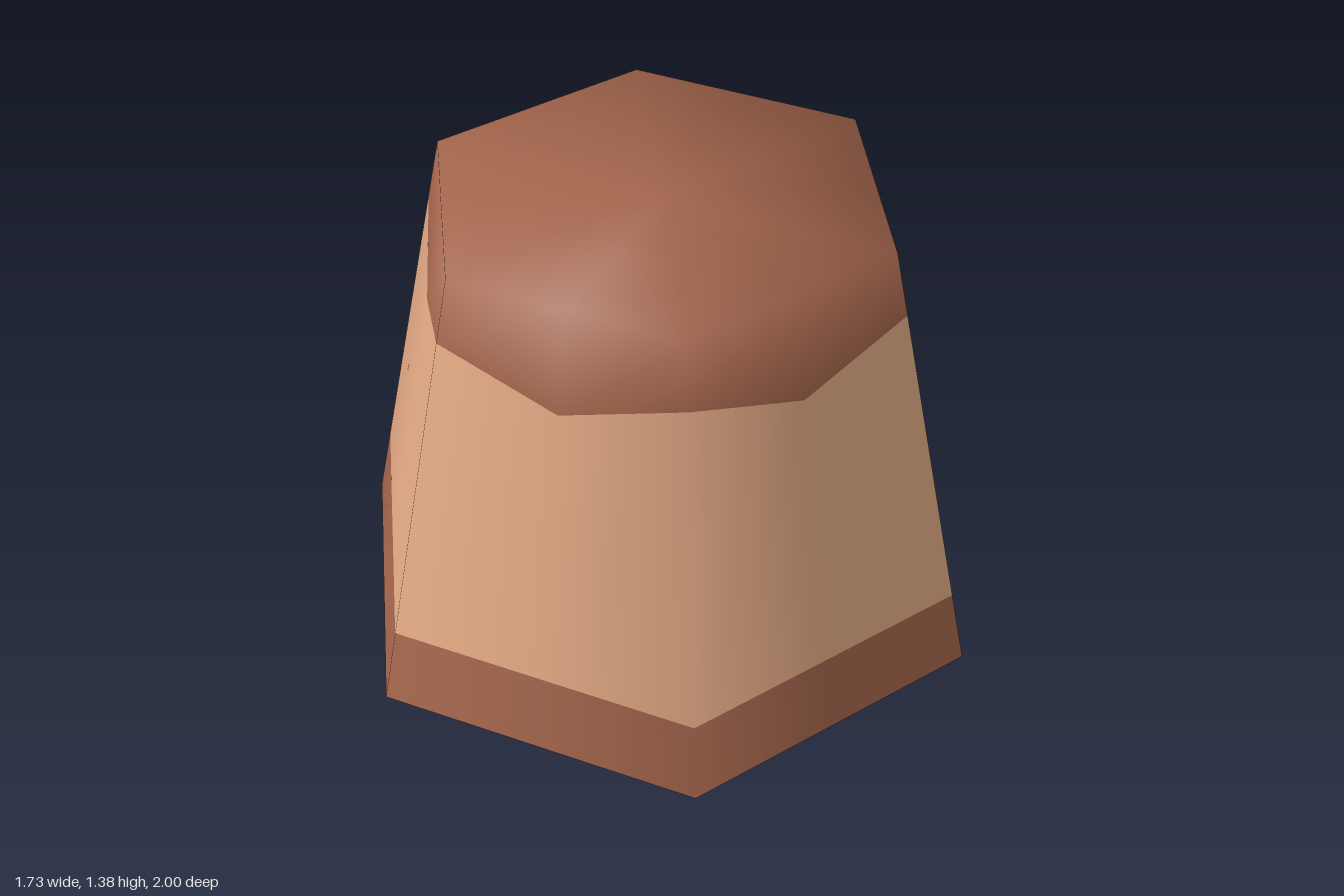
import * as THREE from 'three';

const SIDES = 12; // six corners (even) alternating with six edge midpoints (odd)
const HEIGHT = 1.385;
const TOP_RADIUS = 0.71;
const SLOPE = (1 - TOP_RADIUS) / HEIGHT;

// Ring of points on the tapered hexagon; corners and midpoints may differ in height.
// tilt is the upward share of the smooth normals.
function ring(cornerY, midY = cornerY, tilt = SLOPE) {
  const points = [];
  for (let i = 0; i <= SIDES; i++) {
    const angle = (i % SIDES) * Math.PI * 2 / SIDES;
    const y = i % 2 ? midY : cornerY;
    const r = (1 - SLOPE * y) * (i % 2 ? Math.cos(Math.PI / 6) : 1);
    const dir = new THREE.Vector3(Math.sin(angle), 0, Math.cos(angle));
    points.push({
      p: new THREE.Vector3(dir.x * r, y, dir.z * r),
      n: new THREE.Vector3(dir.x, tilt, dir.z).normalize(),
    });
  }
  return points;
}

// A ring collapsed to one point, used to close an end.
function pole(y, up) {
  const point = { p: new THREE.Vector3(0, y, 0), n: new THREE.Vector3(0, up, 0) };
  return Array(SIDES + 1).fill(point);
}

// Join successive rings, listed from bottom to top, into one smooth surface.
function loft(name, rings, material) {
  const positions = [], normals = [], index = [];
  for (const points of rings) {
    for (const { p, n } of points) {
      positions.push(p.x, p.y, p.z);
      normals.push(n.x, n.y, n.z);
    }
  }
  const row = SIDES + 1;
  for (let j = 0; j < rings.length - 1; j++) {
    for (let i = 0; i < SIDES; i++) {
      const a = j * row + i, b = a + 1, c = a + row, d = c + 1;
      if (rings[j][i] !== rings[j][i + 1]) index.push(a, b, d);
      if (rings[j + 1][i] !== rings[j + 1][i + 1]) index.push(a, d, c);
    }
  }
  const geometry = new THREE.BufferGeometry();
  geometry.setAttribute('position', new THREE.Float32BufferAttribute(positions, 3));
  geometry.setAttribute('normal', new THREE.Float32BufferAttribute(normals, 3));
  geometry.setIndex(index);
  const mesh = new THREE.Mesh(geometry, material);
  mesh.name = name;
  return mesh;
}

export function createModel() {
  const darkDirt = new THREE.MeshStandardMaterial({ name: 'darkDirt', color: 0xa3654c });
  const lightDirt = new THREE.MeshStandardMaterial({ name: 'lightDirt', color: 0xe2a984 });

  const model = new THREE.Group();
  model.name = 'hexagonalMound';

  const bandTop = ring(0.23);
  const scallop = ring(1.19, 1.075);

  // Flat underside with a hard edge
  const under = ring(0).map(({ p }) => ({ p, n: new THREE.Vector3(0, -1, 0) }));
  model.add(loft('underside', [pole(0, -1), under], darkDirt));

  // Base band, sloping wall and zigzag-edged cap
  model.add(loft('baseBand', [ring(0), bandTop], darkDirt));
  model.add(loft('wall', [bandTop, scallop], lightDirt));
  model.add(loft('cap', [scallop, ring(HEIGHT, HEIGHT, 1), pole(HEIGHT, 1)], darkDirt));

  return model;
}
